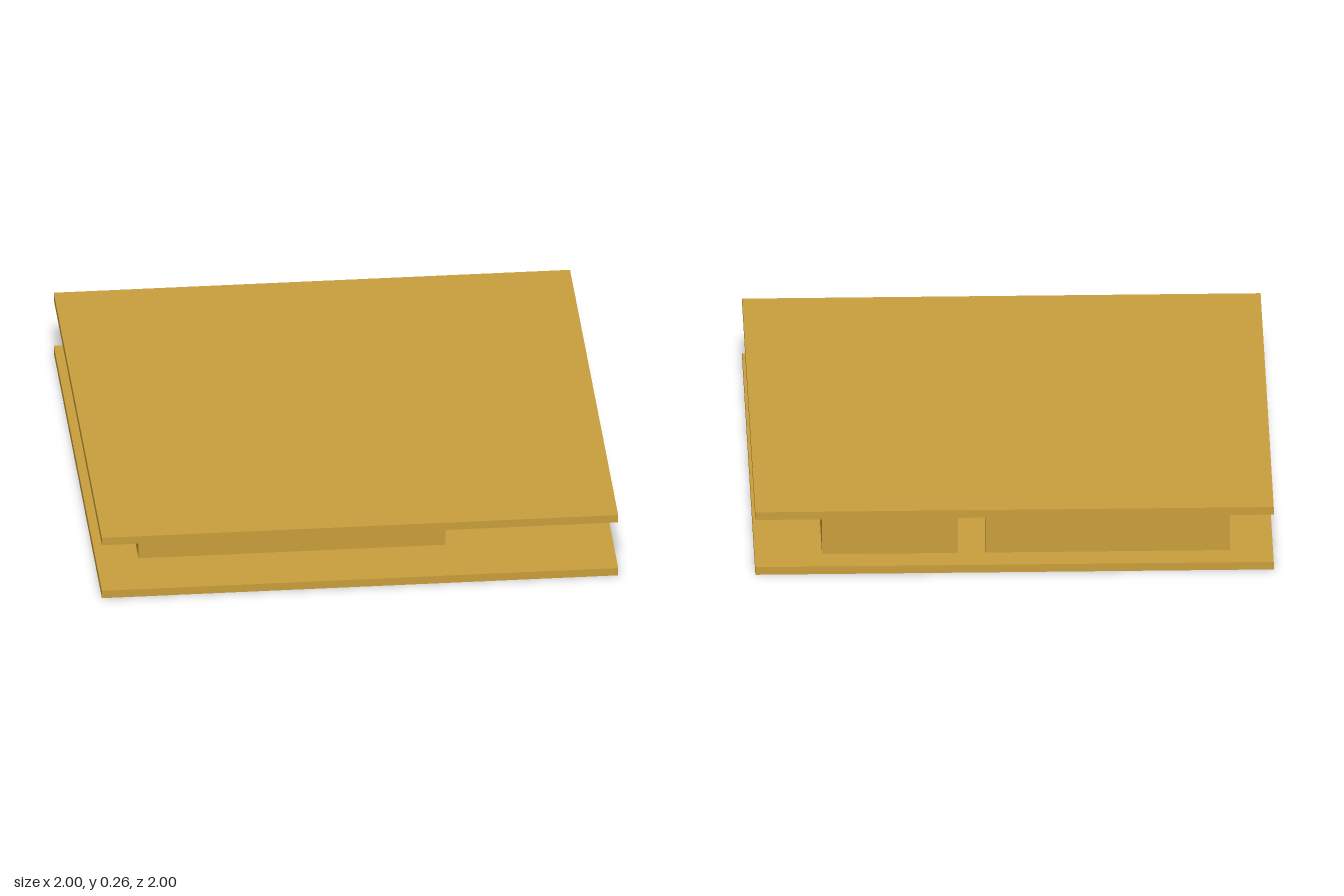
import * as THREE from 'three';

const PLATE = 0.032; // plate thickness
const WALL_H = 0.2;  // wall height between the plates

export function createModel() {
  const group = new THREE.Group();
  const ochre = new THREE.MeshStandardMaterial({ color: 0xc99e3c });
  ochre.name = 'ochre';

  // Floor and ceiling plates
  const addPlate = (name, bottom) => {
    const plate = new THREE.Mesh(new THREE.BoxGeometry(2, PLATE, 2), ochre);
    plate.name = name;
    plate.position.y = bottom + PLATE / 2;
    group.add(plate);
  };
  addPlate('floor', 0);
  addPlate('ceiling', PLATE + WALL_H);

  // Walls: plan outlines given as [x, z], raised from the floor
  const addWall = (name, plan) => {
    const shape = new THREE.Shape(plan.map(([x, z]) => new THREE.Vector2(x, -z)));
    const geometry = new THREE.ExtrudeGeometry(shape, { depth: WALL_H, bevelEnabled: false });
    geometry.rotateX(-Math.PI / 2);
    const wall = new THREE.Mesh(geometry, ochre);
    wall.name = name;
    wall.position.y = PLATE;
    group.add(wall);
  };

  // Long wall: back, side, stepped front and one thick door jamb
  addWall('mainWall', [
    [0.11, -0.885], [-0.835, -0.885], [-0.835, 0.75], [0.355, 0.75],
    [0.355, 0.485], [0.74, 0.485], [0.74, 0.135], [0.93, 0.135],
    [0.93, -0.04], [0.68, -0.04], [0.68, 0.425], [0.295, 0.425],
    [0.295, 0.69], [-0.775, 0.69], [-0.775, -0.825], [0.11, -0.825],
  ]);

  // Back corner wall with the other door jamb
  addWall('cornerWall', [
    [0.215, -0.885], [0.74, -0.885], [0.74, -0.355], [0.925, -0.355],
    [0.925, -0.185], [0.68, -0.185], [0.68, -0.825], [0.215, -0.825],
  ]);

  return group;
}
